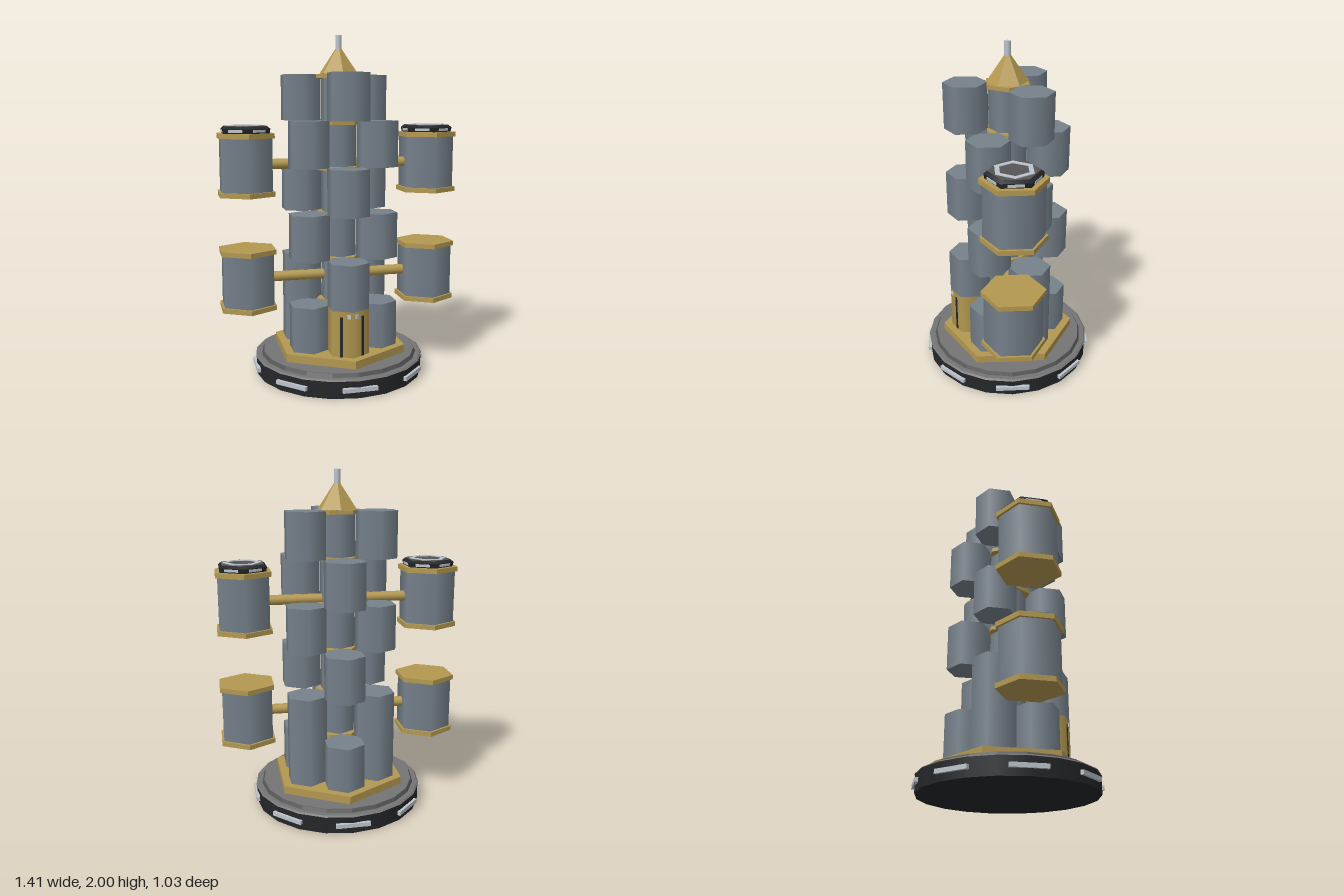
import * as THREE from 'three';

const mat = (color, flatShading = false) => new THREE.MeshStandardMaterial({ color, flatShading });
const blue = mat(0x76818b), gold = mat(0xb39850), goldFlat = mat(0xb39850, true);
const black = mat(0x242629), grey = mat(0x747474), darkGrey = mat(0x555555, true), light = mat(0xbcc4cc);

// Upright prism between two heights; a hexagon has corners on +z and -z
function prism(parent, name, material, r0, r1, y0, y1, x = 0, z = 0, sides = 6, turn = 0) {
  const m = new THREE.Mesh(new THREE.CylinderGeometry(r1, r0, y1 - y0, sides), material);
  m.position.set(x, (y0 + y1) / 2, z);
  m.rotation.y = turn;
  m.name = name;
  parent.add(m);
  return m;
}

// Box lying on a wall at a given angle and distance from a vertical axis
function wallBox(parent, name, material, size, angle, dist, y, cx = 0, cz = 0, slide = 0) {
  const m = new THREE.Mesh(new THREE.BoxGeometry(...size), material);
  const s = Math.sin(angle), c = Math.cos(angle);
  m.position.set(cx + s * dist + c * slide, y, cz + c * dist - s * slide);
  m.rotation.y = angle;
  m.name = name;
  parent.add(m);
}

function createBase() {
  const g = new THREE.Group();
  g.name = 'base';
  prism(g, 'baseDisc', black, 0.505, 0.505, 0, 0.1, 0, 0, 20);
  prism(g, 'baseRim', grey, 0.51, 0.5, 0.1, 0.108, 0, 0, 20);
  prism(g, 'baseStep', darkGrey, 0.472, 0.462, 0.108, 0.127, 0, 0, 20);
  prism(g, 'baseTop', grey, 0.46, 0.46, 0.12, 0.129, 0, 0, 20);
  prism(g, 'hexPlinth', goldFlat, 0.412, 0.412, 0.128, 0.175);
  for (let i = 0; i < 8; i++)
    wallBox(g, 'rimLight', light, [0.2, 0.024, 0.02], i * Math.PI / 4, 0.505, 0.051);
  return g;
}

function createTower() {
  const g = new THREE.Group();
  g.name = 'tower';
  const y0 = 0.175, h = 0.267, d = 0.235, r = 0.125;
  prism(g, 'core', blue, 0.108, 0.108, y0, y0 + 6 * h);

  // Three modules per level, turned by 60 degrees on every other level
  for (let level = 0; level < 6; level++) {
    for (let k = 0; k < 3; k++) {
      const a = (level % 2 ? 0 : Math.PI / 3) + k * Math.PI * 2 / 3;
      // The rear pair on the second level reaches down to the plinth
      const bottom = level === 1 && k > 0 ? y0 : y0 + level * h;
      prism(g, 'module', blue, r, r, bottom, y0 + (level + 1) * h, Math.sin(a) * d, Math.cos(a) * d);
    }
    const top = y0 + (level + 1) * h;
    prism(g, 'coreCollar', goldFlat, 0.135, 0.135, top - 0.024, top - 0.001, 0, 0, 6, Math.PI / 6);
  }

  // Entrance below the front module
  prism(g, 'entrance', gold, r, r, y0, y0 + h, 0, d);
  for (const s of [-1, 1]) {
    const a = s * Math.PI / 6, wall = r * Math.cos(Math.PI / 6);
    wallBox(g, 'doorSlot', black, [0.016, 0.235, 0.008], a, wall, 0.293, 0, d, s * 0.008);
    wallBox(g, 'doorLamp', light, [0.022, 0.022, 0.014], a, wall, 0.416, 0, d, -s * 0.038);
  }

  // Pointed roof and mast
  prism(g, 'roof', goldFlat, 0.119, 0.02, 1.777, 1.92);
  prism(g, 'mast', light, 0.018, 0.018, 1.91, 2, 0, 0, 12);
  return g;
}

// Docking port on top of an upper pod
function createPort(x, y) {
  const g = new THREE.Group();
  g.name = 'dockingPort';
  g.position.set(x, y, 0);
  prism(g, 'portBody', black, 0.15, 0.155, 0, 0.026);
  prism(g, 'portChamfer', black, 0.155, 0.138, 0.026, 0.04);
  prism(g, 'portDeck', darkGrey, 0.138, 0.136, 0.036, 0.042);
  for (let i = 0; i < 6; i++)
    wallBox(g, 'portLight', light, [0.085, 0.015, 0.008], (i + 0.5) * Math.PI / 3, 0.132, 0.014);
  // Hexagonal ring with corners on +x and -x
  const hex = (P, r) => {
    const p = new P();
    for (let i = 0; i < 6; i++) {
      const a = i * Math.PI / 3;
      p[i ? 'lineTo' : 'moveTo'](r * Math.cos(a), r * Math.sin(a));
    }
    p.closePath();
    return p;
  };
  const shape = hex(THREE.Shape, 0.113);
  shape.holes.push(hex(THREE.Path, 0.085));
  const ring = new THREE.Mesh(new THREE.ExtrudeGeometry(shape, { depth: 0.008, bevelEnabled: false }), light);
  ring.rotation.x = -Math.PI / 2;
  ring.position.y = 0.038;
  ring.name = 'portRing';
  g.add(ring);
  return g;
}

function createPod(side, bottom, hasPort) {
  const g = new THREE.Group();
  g.name = hasPort ? 'upperPod' : 'lowerPod';
  const x = side * 0.55, top = bottom + 0.36, cap = 0.028;
  prism(g, 'podBody', blue, 0.166, 0.166, bottom + cap, top - cap, x);
  prism(g, 'podCap', goldFlat, 0.181, 0.181, bottom, bottom + cap, x);
  prism(g, 'podCap', goldFlat, 0.181, 0.181, top - cap, top, x);
  // Arm to the core
  const arm = new THREE.Mesh(new THREE.CylinderGeometry(0.03, 0.03, 0.36, 16), gold);
  arm.rotation.z = Math.PI / 2;
  arm.position.set(side * 0.25, bottom + 0.18, 0);
  arm.name = 'arm';
  g.add(arm);
  if (hasPort) g.add(createPort(x, top));
  return g;
}

export function createModel() {
  const model = new THREE.Group();
  model.name = 'modularTower';
  model.add(createBase(), createTower());
  for (const side of [-1, 1])
    model.add(createPod(side, 0.41, false), createPod(side, 1.08, true));
  return model;
}
